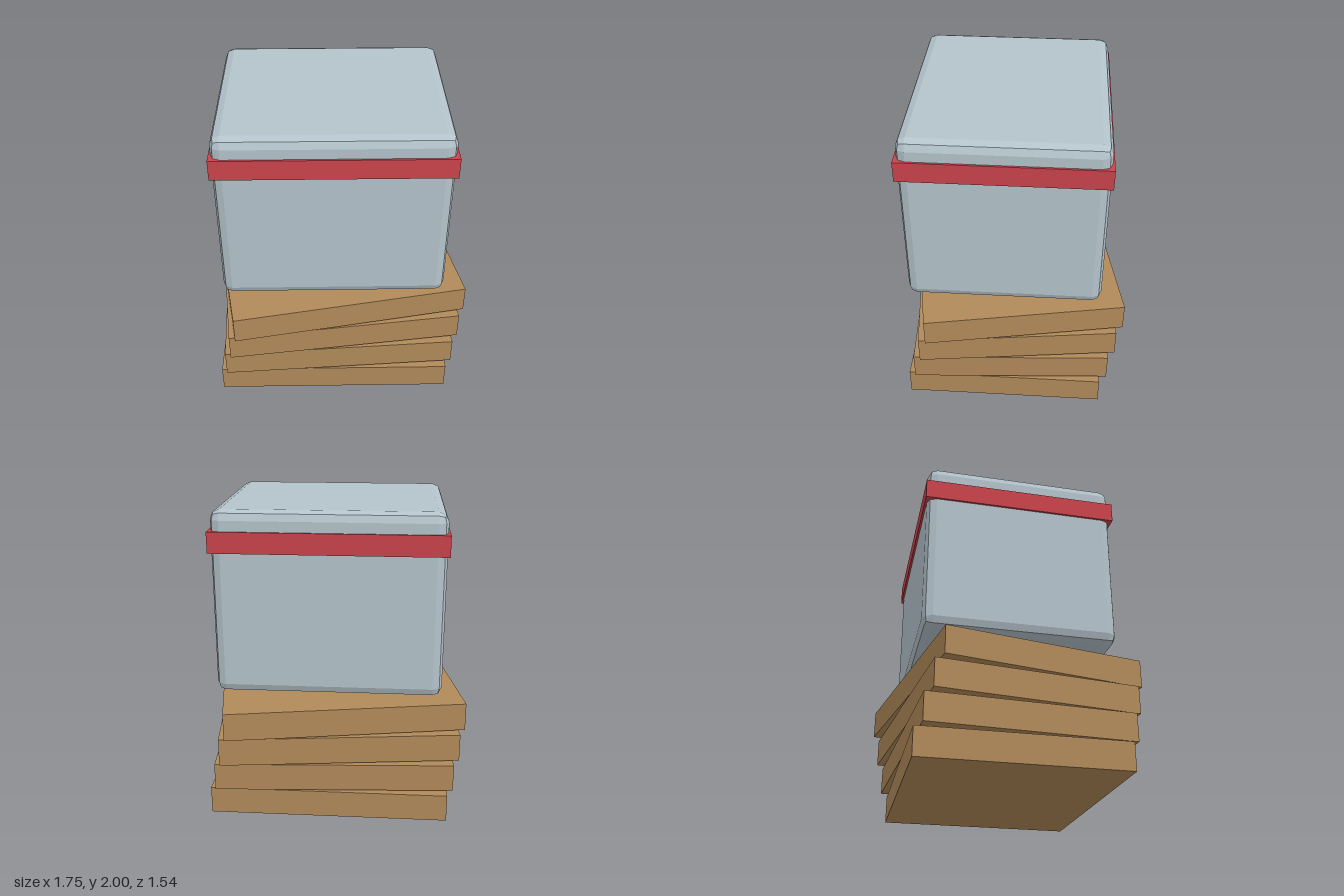
import * as THREE from 'three';

const paleGrey = new THREE.MeshStandardMaterial({ name: 'pale blue grey', color: 0xb4c3cb, flatShading: true });
const red = new THREE.MeshStandardMaterial({ name: 'red', color: 0xcb434c });
const wood = new THREE.MeshStandardMaterial({ name: 'wood brown', color: 0xb18a5a });

// Box whose edges carry a two-facet bevel of radius r
function beveledBox(w, h, d, r) {
  const geometry = new THREE.BoxGeometry(1, 1, 1, 3, 3, 3).toNonIndexed();
  const position = geometry.attributes.position;
  const inner = new THREE.Vector3(w / 2 - r, h / 2 - r, d / 2 - r);
  const p = new THREE.Vector3();
  for (let i = 0; i < position.count; i++) {
    p.fromBufferAttribute(position, i);
    const corner = new THREE.Vector3(Math.sign(p.x), Math.sign(p.y), Math.sign(p.z)).multiply(inner);
    // Outer grid lines lean outwards, inner ones border the flat faces
    const lean = (v) => (Math.abs(v) > 0.4 ? Math.sign(v) : 0);
    p.set(lean(p.x), lean(p.y), lean(p.z)).normalize().multiplyScalar(r).add(corner);
    position.setXYZ(i, p.x, p.y, p.z);
  }
  geometry.computeVertexNormals();
  return geometry;
}

export function createModel() {
  const model = new THREE.Group();
  model.name = 'boxOnSlabs';

  const add = (name, geometry, material, y) => {
    const mesh = new THREE.Mesh(geometry, material);
    mesh.name = name;
    mesh.position.y = y;
    model.add(mesh);
    return mesh;
  };

  // Four wooden slabs, each twisted a little further than the one below
  const slab = new THREE.BoxGeometry(1.54, 0.18, 1.29);
  for (let i = 0; i < 4; i++) {
    add(`slab${i + 1}`, slab, wood, 0.09 + i * 0.195).rotation.y = i * 0.06;
  }

  // Bevelled container floating just above the stack
  add('container', beveledBox(1.415, 1.155, 1.225, 0.06), paleGrey, 1.4225);

  // Band around the upper part
  add('band', new THREE.BoxGeometry(1.44, 0.13, 1.25), red, 1.81);

  return model;
}
